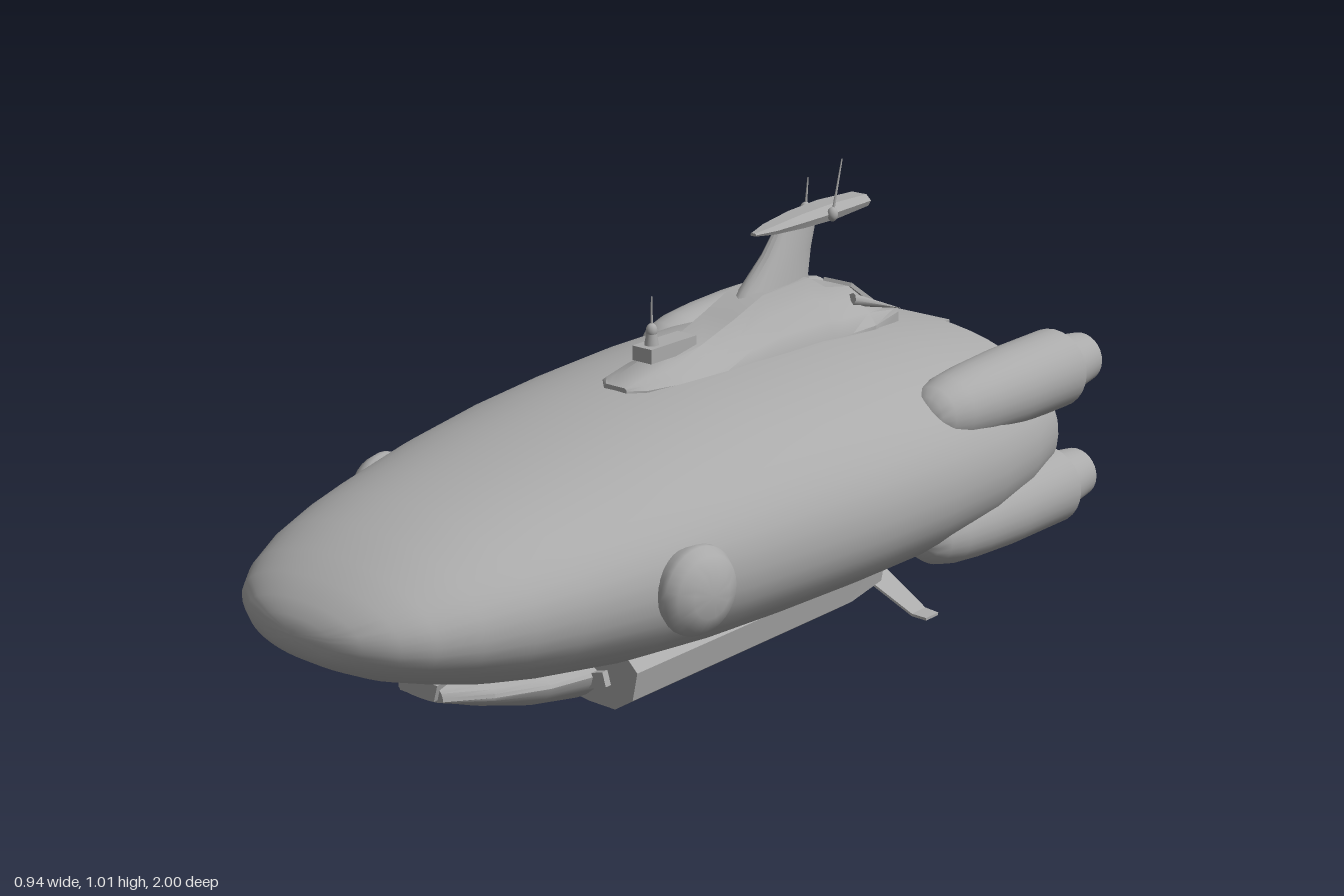
import * as THREE from 'three';
import { toCreasedNormals } from 'three/addons/utils/BufferGeometryUtils.js';

export function createModel() {
  const model = new THREE.Group();
  const grey = new THREE.MeshStandardMaterial({ color: 0xaaaaaa, side: THREE.DoubleSide });
  grey.name = 'hull grey';

  function add(name, geometry, parent = model) {
    const mesh = new THREE.Mesh(geometry, grey);
    mesh.name = name;
    parent.add(mesh);
    return mesh;
  }

  // Skin over a list of closed rings of [x, y, z] points, capped at both ends
  function loft(rings, crease = 0.6) {
    const n = rings[0].length, pos = rings.flat(2), index = [];
    for (let i = 0; i < rings.length - 1; i++) {
      for (let j = 0; j < n; j++) {
        const a = i * n + j, b = i * n + (j + 1) % n;
        index.push(a, a + n, b + n, a, b + n, b);
      }
    }
    [0, rings.length - 1].forEach((r, end) => {
      const c = pos.length / 3;
      for (let k = 0; k < 3; k++) pos.push(rings[r].reduce((s, p) => s + p[k], 0) / n);
      for (let j = 0; j < n; j++) {
        const a = r * n + j, b = r * n + (j + 1) % n;
        if (end) index.push(c, b, a); else index.push(c, a, b);
      }
    });
    const g = new THREE.BufferGeometry();
    g.setAttribute('position', new THREE.Float32BufferAttribute(pos, 3));
    g.setIndex(index);
    return toCreasedNormals(g, crease);
  }

  // Rounded section at z: half width, top, bottom and height of the widest line
  function oval(z, w, top, bottom, mid, n = 48, power = 0.94) {
    return Array.from({ length: n }, (_, i) => {
      const t = i / n * Math.PI * 2, c = Math.cos(t), s = Math.sin(t);
      const f = v => Math.sign(v) * Math.abs(v) ** power;
      return [w * f(c), mid + f(s) * (s > 0 ? top - mid : mid - bottom), z];
    });
  }

  // Flat-ended bell section mirrored across x
  const mirrored = (half, z) => [...half, ...half.slice().reverse().map(([x, y]) => [-x, y])]
    .map(([x, y]) => [x, y, z]);

  // Tube that tapers towards the rear, from [radius, distance back] points
  const rearLathe = (points, sides = 24) => toCreasedNormals(
    new THREE.LatheGeometry(points.map(p => new THREE.Vector2(...p)), sides).rotateX(-Math.PI / 2), 0.6);

  // Main hull, ending in a recessed engine bay
  add('hull', loft([
    [1, 0.01, 0.405, 0.385], [0.99, 0.09, 0.43, 0.36], [0.97, 0.15, 0.455, 0.34],
    [0.93, 0.21, 0.485, 0.315], [0.88, 0.25, 0.512, 0.29], [0.8, 0.29, 0.545, 0.262],
    [0.7, 0.325, 0.57, 0.232], [0.6, 0.352, 0.588, 0.21], [0.4, 0.398, 0.62, 0.18],
    [0.2, 0.427, 0.645, 0.165], [0, 0.447, 0.66, 0.16], [-0.2, 0.465, 0.666, 0.16],
    [-0.4, 0.47, 0.666, 0.16], [-0.6, 0.46, 0.652, 0.165], [-0.75, 0.435, 0.63, 0.18],
    [-0.87, 0.4, 0.602, 0.2], [-0.87, 0.3, 0.57, 0.24], [-0.76, 0.29, 0.55, 0.26],
  ].map(([z, w, t, b]) => oval(z, w, t, b, 0.4))));
  add('rearHatch', new THREE.BoxGeometry(0.19, 0.022, 0.02).translate(0, 0.587, -0.874));

  // Keel with a blunt scoop in front and an open bay behind
  add('keel', loft([
    [0.68, 0.06, 0.225, 0.172], [0.6, 0.12, 0.22, 0.142], [0.5, 0.17, 0.22, 0.112],
    [0.39, 0.195, 0.22, 0.09], [0.2, 0.2, 0.22, 0.072], [0, 0.2, 0.22, 0.06],
    [-0.3, 0.2, 0.22, 0.054], [-0.69, 0.18, 0.22, 0.052], [-0.69, 0.16, 0.2, 0.068],
    [-0.6, 0.15, 0.19, 0.08],
  ].map(([z, w, t, b]) => oval(z, w, t, b, 0.18, 32, 1.05))));
  add('centreIntake', loft([
    mirrored([[0.045, 0.18], [0.055, 0.215]], 0.69), mirrored([[0.045, 0.18], [0.055, 0.215]], 0.6),
  ], 0.3));
  add('rearRamp', loft([
    mirrored([[0.09, 0.13], [0.12, 0.22]], -0.66), mirrored([[0.08, 0.15], [0.1, 0.22]], -0.76),
  ], 0.3));
  for (let i = -3; i <= 3; i++) {
    add('bayRib', new THREE.BoxGeometry(0.016, 0.035, 0.03)
      .translate(i * 0.035, 0.083 + i * i * 0.004, -0.675));
  }

  // Fairing at the foot of the tower
  add('towerFairing', loft([
    [0.12, 0.03, 0], [0.09, 0.06, 0.01], [0, 0.085, 0.025], [-0.1, 0.1, 0.042], [-0.2, 0.11, 0.075],
    [-0.29, 0.116, 0.108], [-0.44, 0.12, 0.115], [-0.5, 0.12, 0.082], [-0.58, 0.12, 0.068],
    [-0.7, 0.09, -0.012],
  ].map(([z, w, h]) => mirrored(
    [[w, 0.62], [w, 0.655], [w * 0.83, 0.66 + h * 0.28], [w * 0.52, 0.66 + h * 0.6], [w * 0.37, 0.66 + h]], z)), 0.7));
  add('tailHatch', new THREE.BoxGeometry(0.075, 0.009, 0.1).rotateX(-0.59).translate(0, 0.698, -0.64));

  // Swept mast and its flat head
  add('mast', loft([[0.74, -0.37, 0.045, 0.125], [0.77, -0.38, 0.04, 0.105], [0.83, -0.42, 0.031, 0.075],
    [0.89, -0.455, 0.024, 0.06]].map(([y, z, rx, rz]) => Array.from({ length: 20 }, (_, i) => {
    const t = i / 20 * Math.PI * 2;
    return [rx * Math.cos(t), y, z + rz * Math.sin(t)];
  }))));
  add('mastHead', loft([
    [-0.31, 0.008, 0.888, 0.882], [-0.36, 0.024, 0.896, 0.879], [-0.45, 0.033, 0.906, 0.877],
    [-0.55, 0.036, 0.911, 0.877], [-0.67, 0.032, 0.908, 0.884],
  ].map(([z, w, t, b]) => mirrored([[w * 0.8, b], [w, (t + b) / 2], [w * 0.6, t]], z)), 0.4));

  // Thin aerial leaning back from a small round foot
  function aerial(x, y, z, height, lean) {
    const g = new THREE.Group();
    g.name = 'aerial';
    g.position.set(x, y, z);
    add('aerialFoot', new THREE.SphereGeometry(0.012, 12, 8).scale(1, 1.3, 1), g);
    add('aerialRod', new THREE.CylinderGeometry(0.0015, 0.003, height, 6).translate(0, height / 2, 0), g).rotation.x = lean;
    model.add(g);
  }
  aerial(0.036, 0.893, -0.53, 0.118, -0.25);
  aerial(-0.036, 0.893, -0.53, 0.068, -0.1);

  // Sensor block on the spine
  add('sensorBlock', new THREE.BoxGeometry(0.05, 0.03, 0.14).translate(0, 0.706, -0.03));
  add('sensorPost', new THREE.CylinderGeometry(0.011, 0.016, 0.03, 12).translate(0, 0.73, 0.01));
  aerial(0, 0.75, 0.01, 0.07, 0);

  // Engine pod with hollow nozzle
  const pod = rearLathe([[0, 0.41], [0.025, 0.413], [0.045, 0.425], [0.06, 0.45], [0.072, 0.5], [0.08, 0.58],
    [0.086, 0.7], [0.087, 0.89], [0.07, 0.89], [0.055, 1], [0.048, 1], [0.052, 0.91], [0, 0.9]], 28);
  const nozzle = r => rearLathe([[r * 0.7, 0], [r * 0.75, 0.03], [r * 1.1, 0.04], [r, 0.1],
    [r * 0.82, 0.1], [r * 0.8, 0.05], [0, 0.045]], 16);
  const bigNozzle = nozzle(0.042), smallNozzle = nozzle(0.018);

  for (const s of [-1, 1]) {
    for (const y of [0.538, 0.273]) add('enginePod', pod).position.set(s * 0.365, y, 0);

    // Rear nozzles, large outside and small inside
    for (const v of [-1, 1]) {
      add('mainNozzle', bigNozzle).position.set(s * 0.155, 0.4 + v * 0.058, -0.76);
      for (const [x, dy] of [[0.035, 0.035], [0.075, 0.07], [0.09, 0.022]]) {
        add('smallNozzle', smallNozzle).position.set(s * x, 0.4 + v * dy, -0.75);
      }
    }

    // Side dome
    const dome = add('sideDome', toCreasedNormals(new THREE.LatheGeometry(
      [[0.07, -0.04], [0.089, 0], [0.088, 0.012], [0.075, 0.032], [0.045, 0.046], [0, 0.051]]
        .map(p => new THREE.Vector2(...p)), 28), 0.6));
    dome.rotation.set(0, s * -0.12, s * -Math.PI / 2);
    dome.position.set(s * 0.412, 0.403, 0.362);

    // Lower side duct with intake
    const duct = [[0.39, 1], [0.3, 1], [-0.3, 1], [-0.44, 0.9]].map(([z, k]) =>
      [[0.13, 0.24], [0.13, 0.125], [0.17, 0.12], [0.235, 0.12], [0.28, 0.15], [0.292, 0.21], [0.25, 0.25]]
        .map(([x, y]) => [s * x * k, y, z]));
    add('sideDuct', loft(s > 0 ? duct : duct.map(r => r.reverse()), 0.4));
    const mouth = add('sideIntake', new THREE.BoxGeometry(0.07, 0.03, 0.06));
    mouth.position.set(s * 0.187, 0.172, 0.375);
    mouth.rotation.z = s * 0.3;

    // Landing leg and foot
    const leg = [[0.09, 0.085, -0.58, -0.66], [0.205, 0.006, -0.62, -0.67], [0.24, 0.003, -0.625, -0.67]]
      .map(([x, y, z0, z1]) => [[s * x, y + 0.003, z0], [s * x, y + 0.003, z1],
        [s * x, y - 0.003, z1], [s * x, y - 0.003, z0]]);
    add('landingLeg', loft(s > 0 ? leg : leg.map(r => r.reverse()), 0.3));

    // Prongs behind the tower
    const prong = add('tailProng', new THREE.ConeGeometry(0.014, 0.14, 8).rotateX(-Math.PI / 2));
    prong.position.set(s * 0.082, 0.685, -0.63);
    prong.rotation.set(-0.3, s * -0.25, 0);
  }

  // Six-sided frame in the engine bay
  add('engineFrame', toCreasedNormals(new THREE.TorusGeometry(0.115, 0.009, 4, 6), 0.3)).position.set(0, 0.4, -0.82);
  for (let i = 0; i < 3; i++) {
    const bar = add('frameBar', new THREE.BoxGeometry(0.23, 0.014, 0.014));
    bar.position.set(0, 0.4, -0.82);
    bar.rotation.z = i * Math.PI / 3;
  }
  return model;
}
